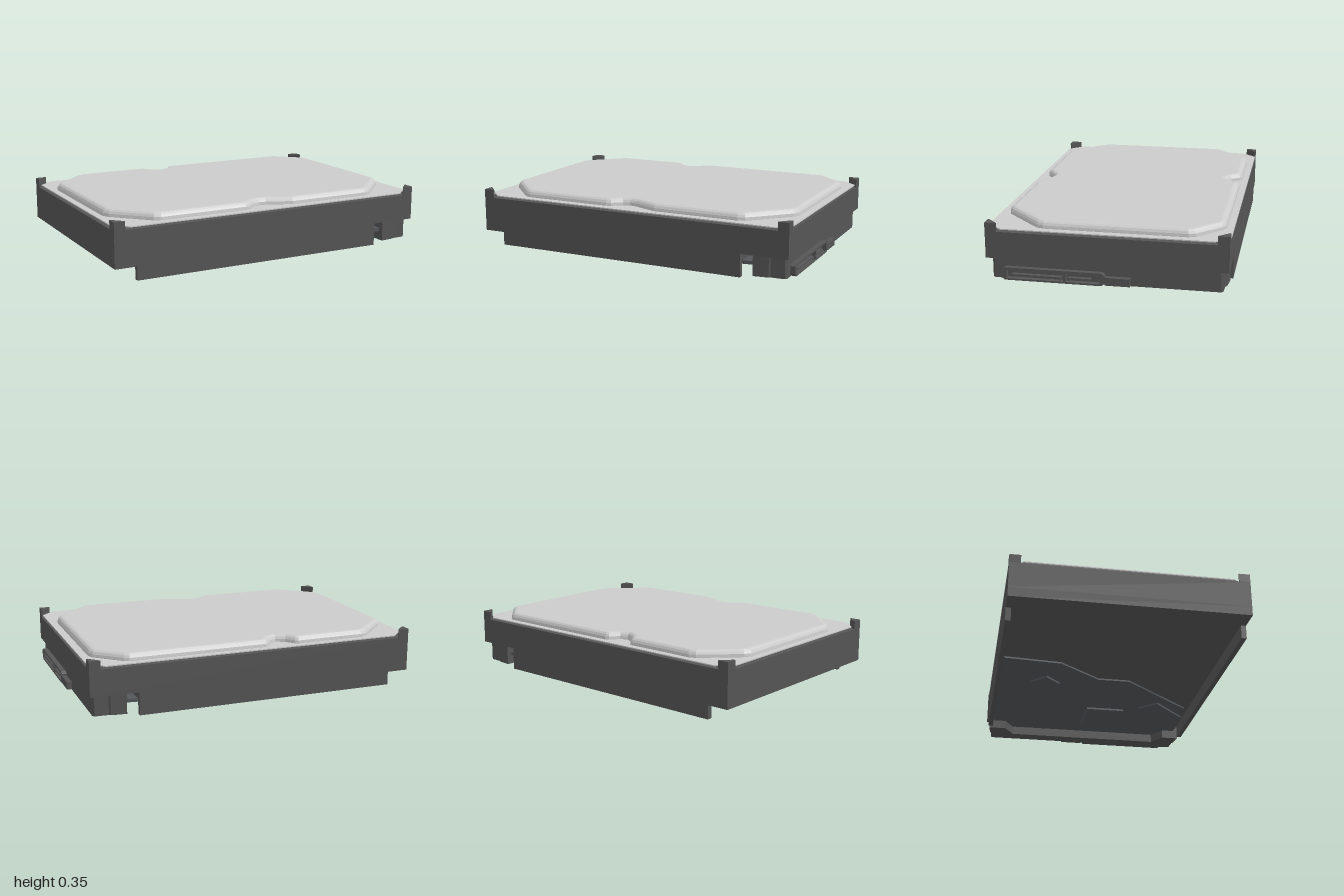
import * as THREE from 'three';

const bodyMat = new THREE.MeshStandardMaterial({ color: 0x555555 });
const boardMat = new THREE.MeshStandardMaterial({ color: 0x54575b });
const lidMat = new THREE.MeshStandardMaterial({ color: 0xcccccc });

export function createModel() {
  const root = new THREE.Group();

  const add = (name, geometry, material) => {
    const mesh = new THREE.Mesh(geometry, material);
    mesh.name = name;
    root.add(mesh);
    return mesh;
  };

  // Box given by its limits on each axis
  const box = (name, [x0, x1], [y0, y1], [z0, z1], material = bodyMat) => {
    const mesh = add(name, new THREE.BoxGeometry(x1 - x0, y1 - y0, z1 - z0), material);
    mesh.position.set((x0 + x1) / 2, (y0 + y1) / 2, (z0 + z1) / 2);
    return mesh;
  };

  const outline = (points) => new THREE.Shape(points.map(([a, b]) => new THREE.Vector2(a, b)));

  // Horizontal slab with an (x, z) outline between two heights
  const slab = (name, points, y0, y1, material = bodyMat, bevel = {}) => {
    const geometry = new THREE.ExtrudeGeometry(outline(points), {
      depth: y1 - y0, bevelEnabled: false, ...bevel,
    });
    geometry.rotateX(Math.PI / 2).translate(0, y1, 0);
    return add(name, geometry, material);
  };

  // Cast housing, stepped underneath at both ends
  box('housing', [-1, 0.99], [0.135, 0.29], [-0.68, 0.68]);
  box('housingFloor', [-1, 0.71], [0.08, 0.135], [-0.68, 0.68]);
  for (const s of [-1, 1]) {
    box('sideRail', [-0.87, 0.71], [0, 0.08], s > 0 ? [0.65, 0.68] : [-0.68, -0.65]);
  }

  // Triangular posts on the four corners
  for (const [x, sx] of [[-1, 1], [0.99, -1]]) {
    for (const s of [-1, 1]) {
      slab('cornerPost', [
        [x, s * 0.68], [x + sx * 0.065, s * 0.68], [x + sx * 0.065, s * 0.672],
        [x + sx * 0.008, s * 0.615], [x, s * 0.615],
      ], 0.29, 0.34);
    }
  }

  // Thin lid sheet with cut corners
  const c = 0.085;
  slab('lidSheet', [
    [-0.99 + c, -0.68], [0.985 - c, -0.68], [0.985, -0.68 + c], [0.985, 0.68 - c],
    [0.985 - c, 0.68], [-0.99 + c, 0.68], [-0.99, 0.68 - c], [-0.99, -0.68 + c],
  ], 0.302, 0.308, lidMat);

  // Raised lid panel with a rounded edge and a notch on each long side
  const panel = slab('lidPanel', [
    [-0.95, -0.4], [-0.93, -0.44], [-0.74, -0.625], [-0.7, -0.64],
    [-0.28, -0.64], [-0.26, -0.63], [-0.22, -0.58], [-0.17, -0.555], [-0.13, -0.575],
    [-0.09, -0.63], [-0.07, -0.64], [0.75, -0.64], [0.78, -0.625],
    [0.925, -0.49], [0.94, -0.45], [0.94, 0.36], [0.925, 0.4], [0.71, 0.615], [0.67, 0.63],
    [0.15, 0.63], [0, 0.57], [-0.04, 0.563], [-0.08, 0.575], [-0.135, 0.62], [-0.165, 0.63],
    [-0.7, 0.63], [-0.74, 0.615], [-0.93, 0.42], [-0.95, 0.38],
  ], 0.308, 0.31, lidMat, {
    bevelEnabled: true, bevelSize: 0.034, bevelOffset: -0.034, bevelThickness: 0.04, bevelSegments: 4,
  });
  // Flatten the underside onto the sheet
  const pos = panel.geometry.attributes.position;
  for (let i = 0; i < pos.count; i++) pos.setY(i, Math.max(pos.getY(i), 0.304));

  // Circuit board under the housing, with its chips
  slab('circuitBoard', [
    [-0.25, -0.645], [-0.22, -0.29], [-0.02, -0.03], [-0.02, 0.17], [0.36, 0.62],
    [0.72, 0.645], [0.9, 0.62], [0.9, -0.62], [0.72, -0.645],
  ], 0.07, 0.09, boardMat);
  for (const [x, z, w, d, turn] of [
    [0.58, 0.09, 0.28, 0.25, 0], [0.44, 0.47, 0.3, 0.15, -Math.PI / 4], [0.06, -0.36, 0.13, 0.13, -Math.PI / 4],
  ]) {
    const chip = add('chip', new THREE.BoxGeometry(w, 0.02, d), boardMat);
    chip.position.set(x, 0.068, z);
    chip.rotation.y = turn;
  }

  // End wall that closes the connector end, thicker at its two ends
  const half = [[0.88, 0.5], [0.78, 0.56], [0.78, 0.67], [0.87, 0.66], [0.88, 0.652], [0.96, 0.648], [0.97, 0.635]];
  slab('endWall', [...half, ...half.map(([x, z]) => [x, -z]).reverse()], 0.015, 0.135);

  // Connector shell with an open mouth, drawn as (z, y) and pushed out along x
  const shell = outline([
    [0.59, 0.03], [0.57, 0.015], [0.02, 0.015], [0, 0.03], [0, 0.075], [0.02, 0.088], [0.57, 0.088], [0.59, 0.075],
  ]);
  for (const hole of [
    [[0.56, 0.025], [0.56, 0.068], [0.545, 0.075], [0.235, 0.075], [0.235, 0.025]],
    [[0.22, 0.025], [0.22, 0.075], [0.045, 0.075], [0.03, 0.068], [0.03, 0.025]],
  ]) shell.holes.push(outline(hole));
  const shellGeometry = new THREE.ExtrudeGeometry(shell, { depth: 0.04, bevelEnabled: false });
  // Turn the drawing so that its first axis is z, keeping faces outward
  shellGeometry.rotateY(-Math.PI / 2).translate(1, 0, 0);
  add('connectorShell', shellGeometry, bodyMat);

  // Contact tongues, each with a keyed end
  for (const [z0, z1, key] of [[0.25, 0.53, 0.25], [0.08, 0.21, 0.2]]) {
    box('contactTongue', [0.96, 0.995], [0.04, 0.049], [z0, z1]);
    box('tongueKey', [0.96, 0.995], [0.03, 0.042], [key, key + 0.01]);
  }
  box('connectorTab', [0.96, 1], [0.02, 0.065], [-0.14, 0]);

  return root;
}
